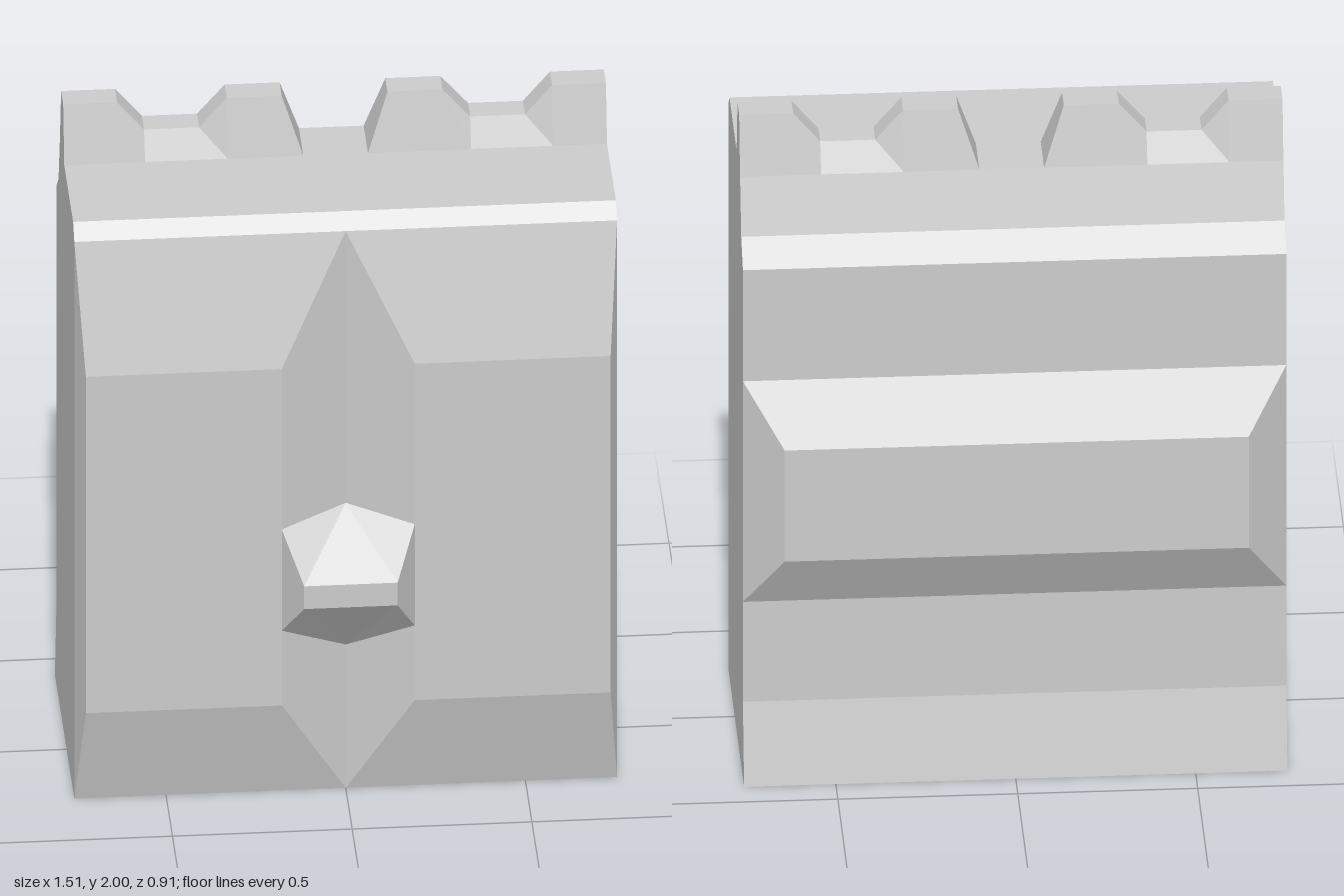
import * as THREE from 'three';

const material = new THREE.MeshStandardMaterial({ color: 0xcccccc, flatShading: true });

// Closed solid through equal-length loops, each counter-clockwise seen from the last one
function loft(sections) {
  const pos = [];
  const tri = (a, b, c) => {
    const same = (p, q) => p.every((v, i) => v === q[i]);
    if (!same(a, b) && !same(b, c) && !same(a, c)) pos.push(...a, ...b, ...c);
  };
  const n = sections[0].length;
  for (let i = 0; i < sections.length - 1; i++) {
    const s = sections[i], t = sections[i + 1];
    for (let j = 0; j < n; j++) {
      const k = (j + 1) % n;
      tri(s[j], s[k], t[k]);
      tri(s[j], t[k], t[j]);
    }
  }
  const first = sections[0], last = sections[sections.length - 1];
  for (let j = 1; j < n - 1; j++) {
    tri(first[0], first[j + 1], first[j]);
    tri(last[0], last[j], last[j + 1]);
  }
  const geometry = new THREE.BufferGeometry();
  geometry.setAttribute('position', new THREE.Float32BufferAttribute(pos, 3));
  geometry.computeVertexNormals();
  return geometry;
}

const rect = (x0, x1, y0, y1, z) => [[x0, y0, z], [x1, y0, z], [x1, y1, z], [x0, y1, z]];

export function createModel() {
  const model = new THREE.Group();
  const add = (name, geometry) => {
    const mesh = new THREE.Mesh(geometry, material);
    mesh.name = name;
    model.add(mesh);
  };
  const W = 0.755, FRONT = 0.272;

  // Wall core: side profile (z, y) extruded across the width
  const profile = [
    [FRONT, 0], [FRONT, 1.787], [0.23, 1.827], [-0.235, 1.827],
    [-0.285, 1.665], [-0.36, 1.6], [-0.36, 0.24], [-0.412, 0],
  ].map(([z, y]) => new THREE.Vector2(z, y));
  const core = new THREE.ExtrudeGeometry(new THREE.Shape(profile), { depth: 2 * W, bevelEnabled: false });
  core.translate(0, 0, -W).rotateY(-Math.PI / 2);
  add('wallCore', core);

  // Two bevelled front panels that leave a V groove between them
  add('frontPanelLeft', loft([rect(0, W, 0, 1.787, FRONT), rect(0.185, 0.73, 0.325, 1.405, 0.362)]));
  add('frontPanelRight', loft([rect(-W, 0, 0, 1.787, FRONT), rect(-0.73, -0.185, 0.325, 1.405, 0.362)]));

  // Raised band across the back
  add('backBand', loft([rect(W, -W, 0.555, 1.25, -0.36), rect(0.645, -0.645, 0.73, 1.08, -0.457)]));

  // Faceted boss seated in the groove
  const bottom = [0, 0.46, FRONT], top = [0, 0.915, FRONT];
  const [f0, f1, f2, f3] = rect(-0.13, 0.13, 0.687, 0.76, 0.457);
  const [b0, b1, b2, b3] = rect(-0.185, 0.185, 0.565, 0.89, 0.362);
  add('boss', loft([
    [b3, b0, bottom, bottom, b1, b2, top, top],
    [f3, f0, f0, f1, f1, f2, f2, f3],
  ]));

  // Battlements: stations as [bottom x, top x, top y], tapering front to back
  const stations = [
    [0.09, 0.147, 2], [0.3, 0.3, 2], [0.377, 0.377, 1.91],
    [0.53, 0.53, 1.91], [0.605, 0.605, 2], [W, W, 2],
  ];
  const section = ([xb, xt, y]) => [
    [xb, 1.827, -0.083], [xb, 1.827, -0.235], [xt, y, -0.195], [xt, y, -0.12],
  ];
  add('battlementLeft', loft(stations.map(section)));
  add('battlementRight', loft(stations.map(([b, t, y]) => section([-b, -t, y])).reverse()));

  return model;
}
